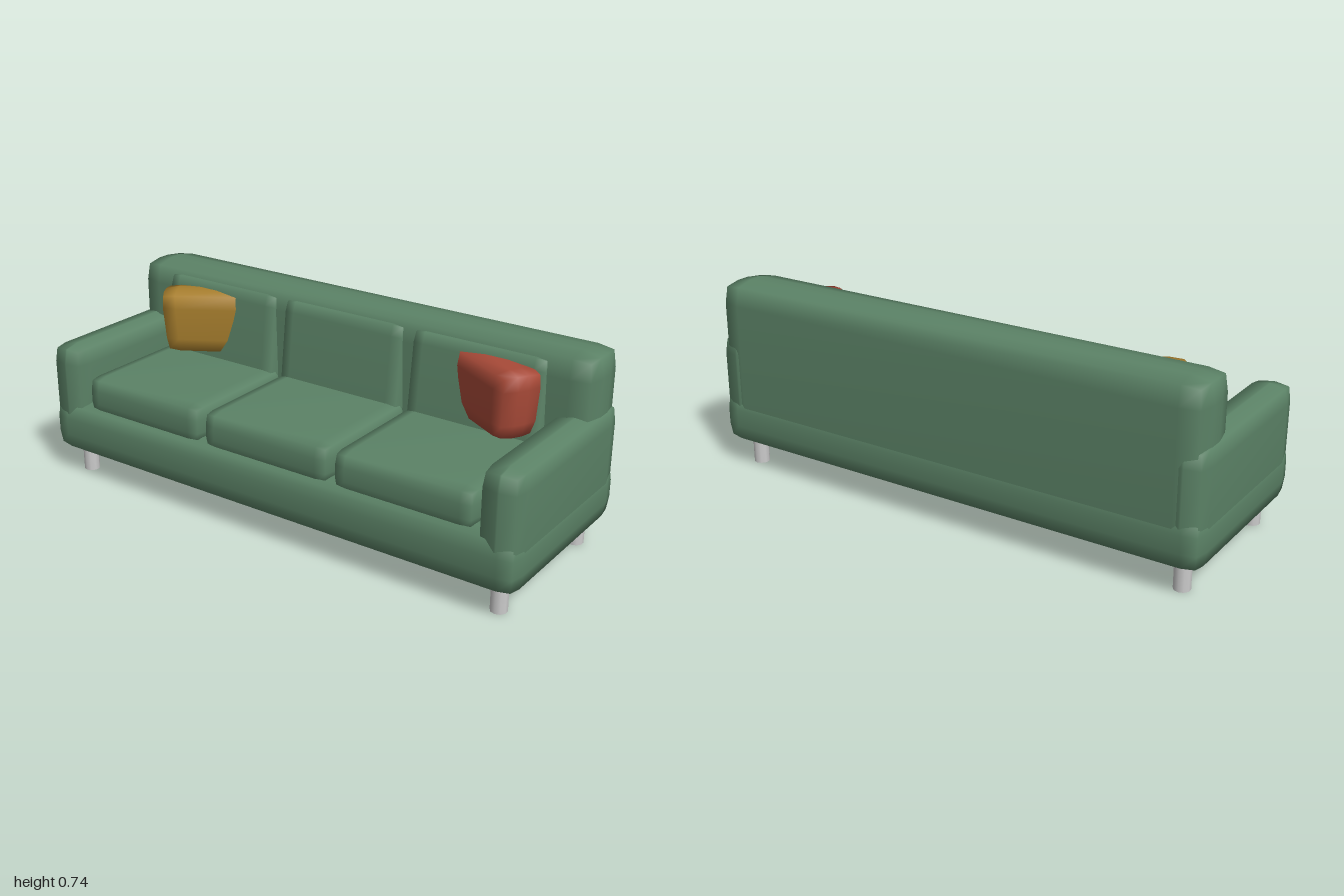
import * as THREE from 'three';
import { mergeVertices } from 'three/addons/utils/BufferGeometryUtils.js';

const fabric = new THREE.MeshStandardMaterial({ color: 0x5b8266 });
const mustard = new THREE.MeshStandardMaterial({ color: 0xa87f2e });
const rust = new THREE.MeshStandardMaterial({ color: 0xa84a38 });
const metal = new THREE.MeshStandardMaterial({ color: 0xcccccc });

// Box with a full, two-step soft bevel; taper widens the top and narrows the bottom.
function softBox(w, h, d, r, taper = 0) {
  let geo = new THREE.BoxGeometry(3, 3, 3, 3, 3, 3);
  const half = [w / 2, h / 2, d / 2];
  const pos = geo.attributes.position;
  for (let i = 0; i < pos.count; i++) {
    const grid = [pos.getX(i), pos.getY(i), pos.getZ(i)];
    // Offset of each bevel vertex from the inner box, on a squarish round.
    const off = grid.map((g) => (Math.abs(g) > 1 ? Math.sign(g) : 0));
    const len = off.reduce((s, o) => s + Math.abs(o), 0) ** (1 / 3.7);
    const p = off.map((o, a) => Math.sign(grid[a]) * (half[a] - r) + (o * r) / len);
    const k = 1 + (taper * p[1]) / half[1];
    pos.setXYZ(i, p[0] * k, p[1], p[2] * k);
  }
  geo.deleteAttribute('uv');
  geo.deleteAttribute('normal');
  geo = mergeVertices(geo, 1e-5);
  geo.computeVertexNormals();
  return geo;
}

export function createModel() {
  const group = new THREE.Group();
  const add = (name, geo, material, x, y, z) => {
    const mesh = new THREE.Mesh(geo, material);
    mesh.name = name;
    mesh.position.set(x, y, z);
    group.add(mesh);
    return mesh;
  };

  // Frame
  add('base', softBox(2, 0.195, 0.74, 0.065), fabric, 0, 0.2025, 0);
  add('backrest', softBox(1.97, 0.6, 0.222, 0.085), fabric, 0, 0.44, -0.256);

  // Three seat cushions with a leaning back cushion behind each
  const seatGeo = softBox(0.54, 0.15, 0.52, 0.05);
  const backGeo = softBox(0.53, 0.36, 0.13, 0.05);
  for (const x of [-0.567, -0.003, 0.56]) {
    add('seatCushion', seatGeo, fabric, x, 0.345, 0.08);
    add('backCushion', backGeo, fabric, x, 0.53, -0.18).rotation.x = -0.12;
  }

  // Arms, legs and throw pillows, mirrored
  const armGeo = softBox(0.143, 0.38, 0.732, 0.068);
  const legGeo = new THREE.CylinderGeometry(0.03, 0.03, 0.13, 10);
  const pillowGeo = softBox(0.34, 0.245, 0.16, 0.06, 0.06);
  for (const s of [-1, 1]) {
    add(s > 0 ? 'leftArm' : 'rightArm', armGeo, fabric, s * 0.926, 0.338, 0);
    for (const z of [-0.28, 0.28]) add('leg', legGeo, metal, s * 0.91, 0.065, z);
    const pillow = add('throwPillow', pillowGeo, s > 0 ? rust : mustard, s * 0.635, 0.56, -0.135);
    pillow.rotation.y = -s * Math.PI / 6;
  }
  return group;
}
